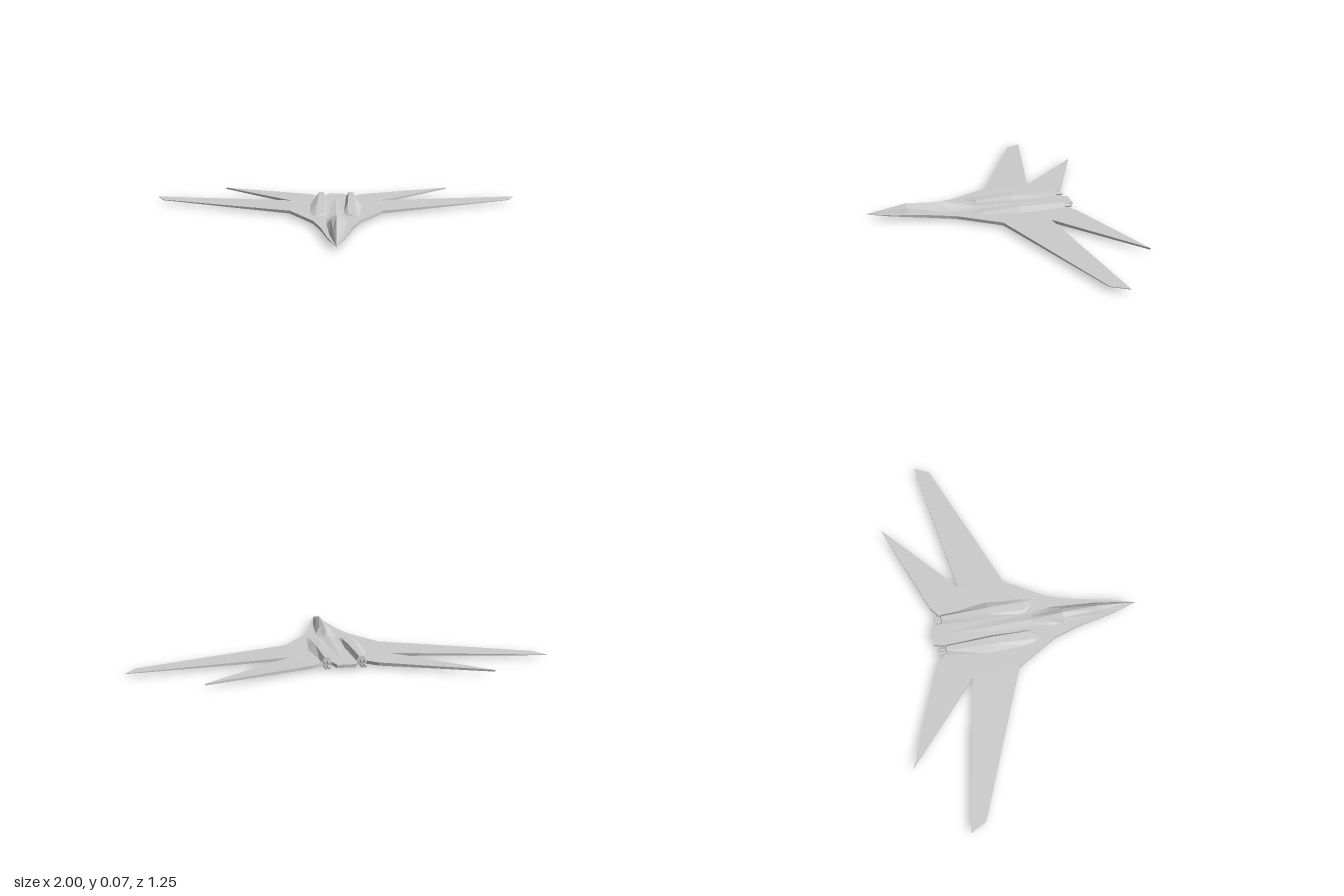
import * as THREE from 'three';

const grey = new THREE.MeshStandardMaterial({ color: 0xcccccc, flatShading: true });
const lerp = THREE.MathUtils.lerp;
const clamp01 = (t) => Math.min(1, Math.max(0, t));

// Upper and lower skin heights: thin at the wing and tail tips, pinched at the nose
function topHeight(x, z) {
  return lerp(0.026, 0.019, clamp01((Math.abs(x) - 0.24) / 0.7));
}
function bottomHeight(x, z) {
  const span = lerp(0.011, 0.016, clamp01((Math.abs(x) - 0.24) / 0.7));
  return lerp(span, 0.025, clamp01((z - 0.3) / 0.326));
}

// Slab with a plan outline of [x, z] points, its faces moved to the skin heights
function slab(name, outline) {
  const shape = new THREE.Shape(outline.map(([x, z]) => new THREE.Vector2(x, -z)));
  const geo = new THREE.ExtrudeGeometry(shape, { depth: 1, bevelEnabled: false });
  geo.rotateX(-Math.PI / 2);
  const p = geo.attributes.position;
  for (let i = 0; i < p.count; i++) {
    const x = p.getX(i), z = p.getZ(i);
    p.setY(i, p.getY(i) > 0.5 ? topHeight(x, z) : bottomHeight(x, z));
  }
  geo.computeVertexNormals();
  const mesh = new THREE.Mesh(geo, grey);
  mesh.name = name;
  return mesh;
}

// Faceted skin over cross-sections { z, pts }, nose to tail, points running -x to +x
function loft(name, sections) {
  const pos = [];
  for (let i = 0; i < sections.length - 1; i++) {
    const s = sections[i], t = sections[i + 1];
    for (let j = 0; j < s.pts.length - 1; j++) {
      const a = [s.pts[j][0], s.pts[j][1], s.z];
      const b = [s.pts[j + 1][0], s.pts[j + 1][1], s.z];
      const c = [t.pts[j + 1][0], t.pts[j + 1][1], t.z];
      const d = [t.pts[j][0], t.pts[j][1], t.z];
      pos.push(...a, ...b, ...c, ...a, ...c, ...d);
    }
  }
  const geo = new THREE.BufferGeometry();
  geo.setAttribute('position', new THREE.Float32BufferAttribute(pos, 3));
  geo.computeVertexNormals();
  const mesh = new THREE.Mesh(geo, grey);
  mesh.name = name;
  return mesh;
}

function tube(name, x, y, z0, z1, r) {
  const geo = new THREE.CylinderGeometry(r, r, z0 - z1, 10);
  geo.rotateX(Math.PI / 2);
  const mesh = new THREE.Mesh(geo, grey);
  mesh.name = name;
  mesh.position.set(x, y, (z0 + z1) / 2);
  return mesh;
}

export function createModel() {
  const plane = new THREE.Group();
  plane.name = 'aircraft';

  // Blended fuselage
  const half = [
    [0.038, 0.5], [0.075, 0.31], [0.115, 0.18], [0.24, -0.03],
    [0.25, -0.27], [0.155, -0.43], [0.1, -0.385], [0.06, -0.385], [0.045, -0.44],
  ];
  const mirrored = half.map(([x, z]) => [-x, z]).reverse();
  plane.add(slab('fuselage', [[0, 0.626], ...half, ...mirrored]));

  // Ridged cockpit canopy: [z, half width, shoulder height, ridge height]
  const canopy = [
    [0.622, 0.001, 0.026, 0.027],
    [0.5, 0.024, 0.042, 0.053],
    [0.42, 0.036, 0.052, 0.07],
    [0.24, 0.05, 0.05, 0.063],
    [0.17, 0.056, 0.034, 0.05],
    [0.08, 0.045, 0.028, 0.032],
    [-0.14, 0.04, 0.027, 0.03],
    [-0.43, 0.035, 0.024, 0.025],
  ];
  plane.add(loft('canopyAndSpine', canopy.map(([z, w, shoulder, ridge]) => ({
    z,
    pts: [[-w, 0.024], [-w * 0.5, shoulder], [0, ridge], [w * 0.5, shoulder], [w, 0.024]],
  }))));

  // Engine humps: [z, inner, inner crest, outer crest, outer, height]
  const hump = [
    [0.12, 0.1, 0.105, 0.11, 0.115, 0.024],
    [0.05, 0.035, 0.06, 0.105, 0.14, 0.033],
    [-0.14, 0.042, 0.062, 0.1, 0.148, 0.048],
    [-0.38, 0.054, 0.07, 0.094, 0.115, 0.048],
    [-0.385, 0.058, 0.072, 0.092, 0.105, 0.02],
  ];

  for (const [side, s] of [['left', 1], ['right', -1]]) {
    const flip = (pts) => pts.map(([x, v]) => [s * x, v]);

    // Swept wing
    plane.add(slab(side + 'Wing', flip([
      [0.24, -0.03], [0.96, -0.32], [1, -0.4], [0.25, -0.27],
    ])));

    // Swept tailplane
    plane.add(slab(side + 'Tailplane', flip([
      [0.25, -0.27], [0.65, -0.626], [0.155, -0.43],
    ])));

    plane.add(loft(side + 'EngineHump', hump.map(([z, a, b, c, d, h]) => {
      const pts = flip([[a, 0.02], [b, h], [c, h], [d, 0.02]]);
      return { z, pts: s > 0 ? pts : pts.reverse() };
    })));

    // Paired exhaust tubes below and at the hump's rear
    for (const x of [0.079, 0.094]) {
      plane.add(tube(side + 'LowerExhaust', s * x, 0.0065, -0.29, -0.42, 0.0065));
      plane.add(tube(side + 'UpperExhaust', s * x, 0.028, -0.34, -0.42, 0.0065));
    }
  }
  return plane;
}
